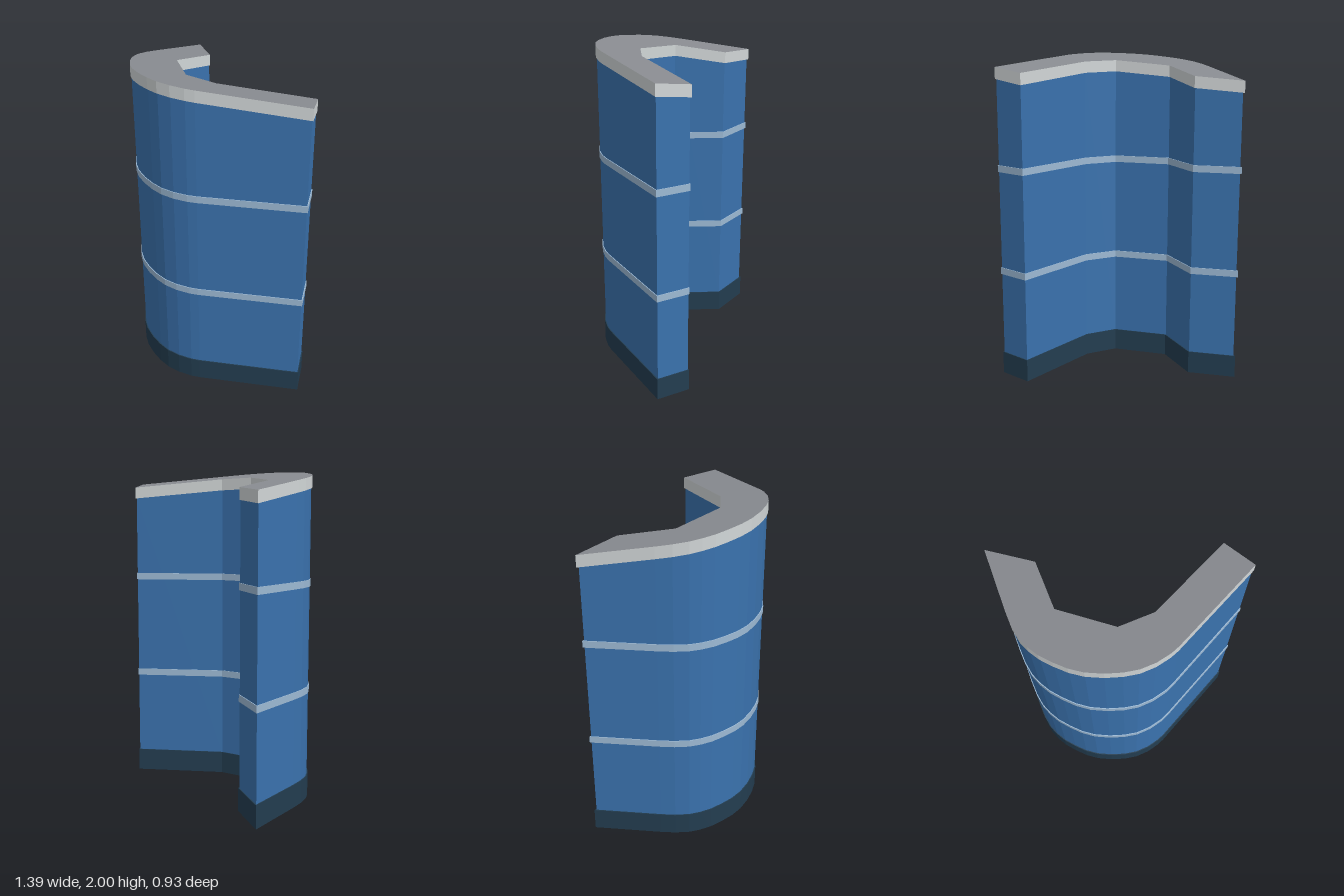
import * as THREE from 'three';

const paint = (name, color) => {
  const m = new THREE.MeshStandardMaterial({ color });
  m.name = name;
  return m;
};

// Plan outline as [x, z]: straight inner faces, then the rounded outer face
const OUTLINE = [
  [0.692, 0.025], [0.573, -0.157], [0.1, 0.163], [-0.11, 0.197], [-0.403, 0.005], [-0.442, -0.313],
  [-0.697, -0.465], [-0.655, -0.05], [-0.642, 0.04], [-0.618, 0.125], [-0.585, 0.187],
  [-0.54, 0.248], [-0.477, 0.308], [-0.41, 0.362], [-0.335, 0.405], [-0.24, 0.438],
  [-0.145, 0.457], [-0.06, 0.462], [0.03, 0.447], [0.115, 0.416], [0.165, 0.388],
].map(([x, z]) => new THREE.Vector2(x, -z));

// Move every edge of the outline inwards by d
function insetOutline(d) {
  const n = OUTLINE.length;
  const inward = (a, b) => new THREE.Vector2(a.y - b.y, b.x - a.x).normalize();
  return OUTLINE.map((p, i) => {
    const n1 = inward(OUTLINE[(i + n - 1) % n], p);
    const n2 = inward(p, OUTLINE[(i + 1) % n]);
    const mitre = n1.clone().add(n2).multiplyScalar(d / (1 + n1.dot(n2)));
    return p.clone().add(mitre);
  });
}

// Upright slab; slopes tilt its lower and upper faces along z
function slab(name, material, inset, bottom, top, bottomSlope = 0, topSlope = 0) {
  const geo = new THREE.ExtrudeGeometry(new THREE.Shape(insetOutline(inset)), {
    depth: 1, bevelEnabled: false,
  });
  geo.rotateX(-Math.PI / 2);
  const pos = geo.attributes.position;
  for (let i = 0; i < pos.count; i++) {
    const z = pos.getZ(i);
    pos.setY(i, pos.getY(i) > 0.5 ? top + topSlope * z : bottom + bottomSlope * z);
  }
  geo.computeVertexNormals();
  const mesh = new THREE.Mesh(geo, material);
  mesh.name = name;
  return mesh;
}

export function createModel() {
  const blue = paint('facade blue', 0x3a72ae);
  const pale = paint('pale blue band', 0x9dbad5);
  const dark = paint('dark plinth', 0x233d50);
  const white = paint('parapet light grey', 0xd2d7d8);
  const grey = paint('roof grey', 0x898c91);
  const slope = 0.157;
  const roof = 1.928;
  const capThickness = 0.07;

  const model = new THREE.Group();
  model.name = 'curvedTower';
  model.add(slab('plinth', dark, 0, 0, 0.14));
  model.add(slab('facade', blue, 0.006, 0.13, roof - capThickness + 0.002, 0, slope));
  for (const y of [0.68, 1.325]) model.add(slab('floorBand', pale, 0.001, y - 0.021, y + 0.021));

  // Sloping parapet with a darker roof surface
  model.add(slab('parapet', [grey, white], 0, roof - capThickness, roof, slope, slope));
  return model;
}
